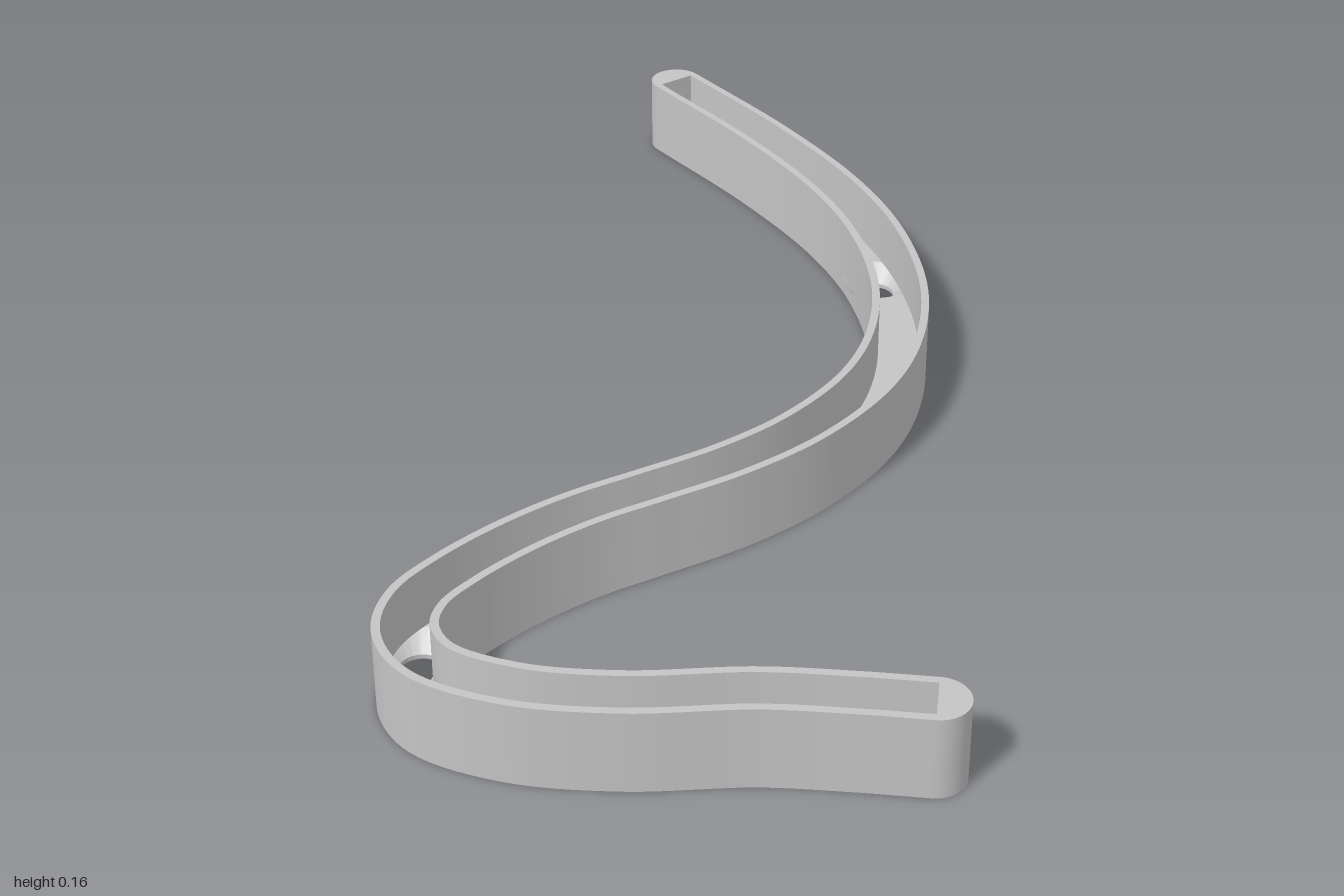
import * as THREE from 'three';
import { toCreasedNormals } from 'three/addons/utils/BufferGeometryUtils.js';

const HALF = 0.0565, INNER = 0.041;   // outer and inner half widths
const HEIGHT = 0.16, FLOOR = 0.041;   // wall height, floor thickness
const SLOPE = 0.85;                   // rise of the countersinks

// Centre line of the channel as [x, z]
const path = [
  [-0.942, -0.943], [-0.606, -0.876], [-0.34, -0.795], [-0.142, -0.695], [0.045, -0.543],
  [0.165, -0.378], [0.229, -0.213], [0.247, -0.016], [0.223, 0.16], [0.176, 0.319],
  [0.136, 0.45], [0.112, 0.585], [0.106, 0.73], [0.12, 0.835], [0.17, 0.907], [0.26, 0.938],
  [0.404, 0.894], [0.553, 0.788], [0.707, 0.632], [0.83, 0.535], [0.938, 0.457],
];
// Screw holes: r is the drilled radius, top the countersink radius
const holes = [
  { x: -0.14, z: -0.694, r: 0.04, top: 0.078 },
  { x: 0.12, z: 0.835, r: 0.04, top: 0.078 },
  { x: 0.893, z: 0.489, r: 0.038, top: 0.038 },
].map((h) => ({ ...h, throat: FLOOR - SLOPE * (h.top - h.r) }));

const N = 420;
const curve = new THREE.CatmullRomCurve3(path.map(([x, z]) => new THREE.Vector3(x, 0, z)), false, 'centripetal');
curve.arcLengthDivisions = 1000;
const centre = curve.getSpacedPoints(N);
const tangents = centre.map((_, i) => curve.getTangentAt(i / N));

// All outlines are 2D points (x, -z), running anticlockwise seen from above
function outline(half, rounded) {
  const side = (s) => centre.map((p, i) => new THREE.Vector2(p.x + s * half * tangents[i].z, -p.z + s * half * tangents[i].x));
  const cap = (i, turn) => {
    const out = [], a0 = Math.atan2(-tangents[i].z, tangents[i].x) + turn;
    for (let k = 1; rounded && k < 20; k++) {
      const a = a0 - Math.PI / 2 + (Math.PI * k) / 20;
      out.push(new THREE.Vector2(centre[i].x + half * Math.cos(a), -centre[i].z + half * Math.sin(a)));
    }
    return out;
  };
  return [...side(-1), ...cap(N, 0), ...side(1).reverse(), ...cap(0, Math.PI)];
}

const distToCentre = (x, y) => Math.min(...centre.map((p) => Math.hypot(p.x - x, -p.z - y)));

// Height of a countersink's cone at a point
const coneHeight = (h, p) => h.throat + SLOPE * Math.max(0, Math.hypot(p.x - h.x, p.y + h.z) - h.r);

// Circle round a hole, cut off where it leaves a band along the centre line
function circle(h, radius, limit = Infinity) {
  const pts = [];
  for (let k = 0; k < 72; k++) {
    const a = (k / 72) * Math.PI * 2, c = Math.cos(a), s = Math.sin(a);
    let lo = h.r, hi = radius;
    if (limit < Infinity && distToCentre(h.x + hi * c, -h.z + hi * s) > limit) {
      for (let n = 0; n < 14; n++) {
        const mid = (lo + hi) / 2;
        if (distToCentre(h.x + mid * c, -h.z + mid * s) > limit) hi = mid; else lo = mid;
      }
      hi = lo;
    }
    pts.push(new THREE.Vector2(h.x + hi * c, -h.z + hi * s));
  }
  return pts;
}

// Band joining two closed loops; heights are functions of the point
function band(a, ya, b, yb, inward) {
  const pos = [];
  const put = (p, y) => pos.push(p.x, y(p), -p.y);
  for (let i = 0; i < a.length; i++) {
    const j = (i + 1) % a.length;
    const [m, n] = inward ? [j, i] : [i, j];
    put(a[m], ya); put(a[n], ya); put(b[n], yb);
    put(a[m], ya); put(b[n], yb); put(b[m], yb);
  }
  const g = new THREE.BufferGeometry();
  g.setAttribute('position', new THREE.Float32BufferAttribute(pos, 3));
  return toCreasedNormals(g, 0.6);
}

// Flat face at height y, facing up or down
function face(pts, cuts, y, down) {
  const map = (list) => (down ? list.map((p) => new THREE.Vector2(p.x, -p.y)) : list);
  const shape = new THREE.Shape(map(pts));
  shape.holes = cuts.map((c) => new THREE.Path(map(c)));
  return new THREE.ShapeGeometry(shape).rotateX(down ? Math.PI / 2 : -Math.PI / 2).translate(0, y, 0);
}

export function createModel() {
  const group = new THREE.Group();
  const grey = new THREE.MeshStandardMaterial({ color: 0xc4c4c4 });
  grey.name = 'grey';
  const add = (name, geometry) => {
    const mesh = new THREE.Mesh(geometry, grey);
    mesh.name = name;
    group.add(mesh);
  };
  const at = (y) => () => y;
  const outer = outline(HALF, true), inner = outline(INNER, false);

  // Countersinks break through the lower part of the side walls
  const sunk = holes.filter((h) => h.top > h.r);
  const lowerTop = (p) => Math.min(FLOOR, ...sunk.map((h) => coneHeight(h, p)));
  add('lowerOuterWall', band(outer, at(0), outer, lowerTop));
  add('upperOuterWall', band(outer, at(FLOOR), outer, at(HEIGHT)));
  add('innerWall', band(inner, at(FLOOR), inner, at(HEIGHT), true));
  add('rim', face(outer, [inner], HEIGHT));
  add('wallSoffit', face(outer, [inner], FLOOR, true));

  // Floor and underside with their screw holes
  add('channelFloor', face(inner, holes.map((h) => circle(h, h.top, INNER - 0.0006)), FLOOR));
  add('underside', face(outer, holes.map((h) => circle(h, h.r)), 0, true));
  for (const h of holes) {
    const bore = circle(h, h.r);
    add('screwHole', band(bore, at(0), bore, at(h.throat), true));
  }
  for (const h of sunk) {
    const cone = (p) => coneHeight(h, p);
    add('countersink', band(circle(h, h.r), cone, circle(h, h.top, HALF), cone, true));
  }
  return group;
}
